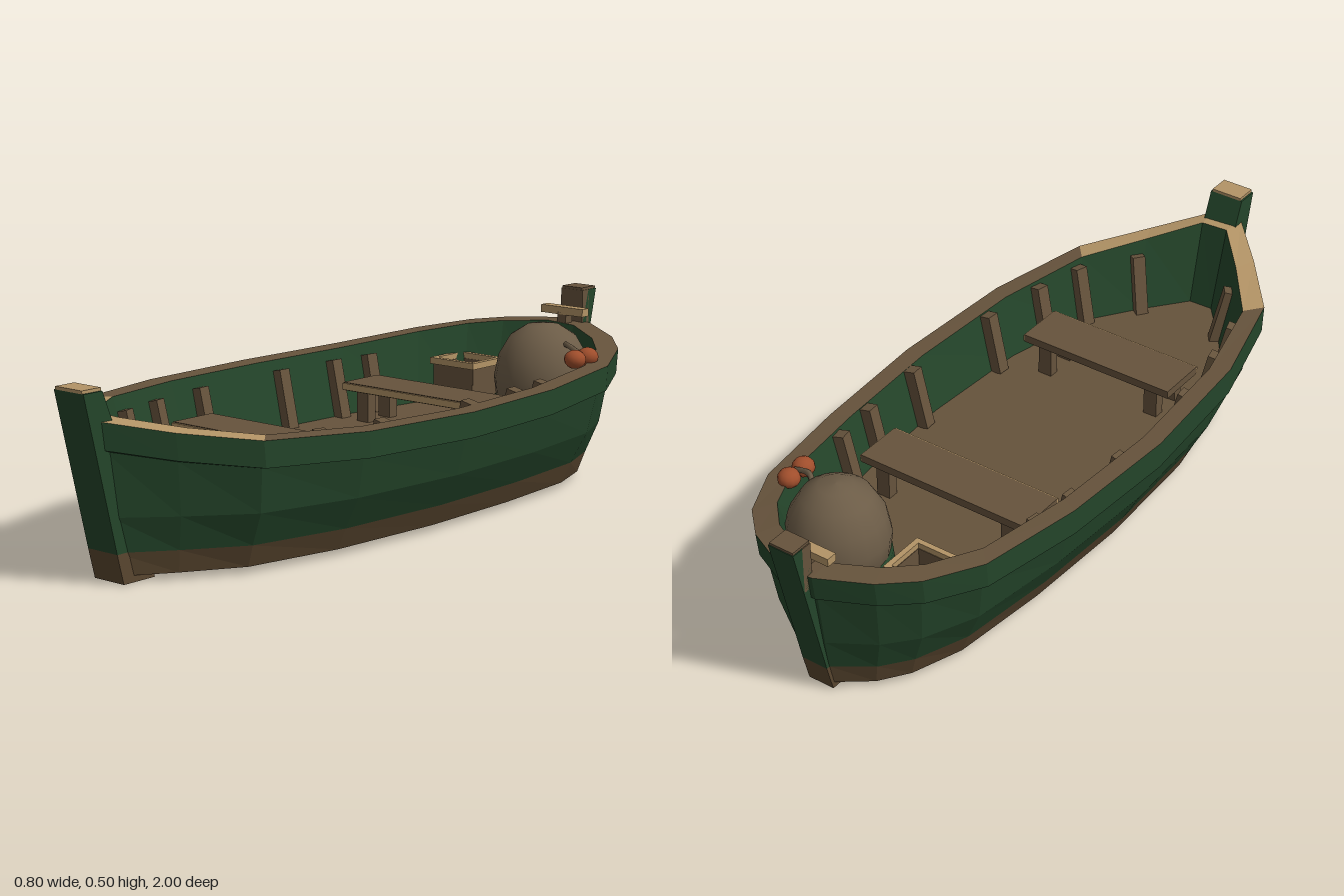
import * as THREE from 'three';

const mat = (name, color) => Object.assign(new THREE.MeshStandardMaterial({ color }), { name });
const M = {
  green: mat('green paint', 0x24452a),
  wood: mat('weathered wood', 0x66533c),
  tan: mat('bare wood', 0xb39466),
  band: mat('bottom paint', 0x59462f),
  sack: mat('net canvas', 0x6c5c47),
  orange: mat('float orange', 0xa04e2c),
};

// Gunwale outline from bow to stern: z, half width, height
const STATIONS = [
  [0.95, 0.045, 0.41], [0.82, 0.168, 0.385], [0.66, 0.30, 0.365], [0.37, 0.375, 0.355],
  [0, 0.40, 0.35], [-0.35, 0.38, 0.352], [-0.65, 0.335, 0.365], [-0.80, 0.26, 0.38],
  [-0.88, 0.18, 0.39], [-0.95, 0.05, 0.40],
];
const N = STATIONS.length * 2;

// Closed loop round the hull: width scale, length scale, height rule
function loop(ws, zs, height) {
  const side = (s) => STATIONS.map(([z, w, h]) => {
    const x = s * w * ws, y = height(h);
    return [x, y - 0.12 * x * y, z * zs];
  });
  return [...side(1), ...side(-1).reverse()];
}

// Faceted skin through successive loops, limited to the chosen segments
function skin(loops, use = () => true) {
  const pos = [];
  for (let l = 0; l < loops.length - 1; l++) {
    const a = loops[l], b = loops[l + 1];
    for (let k = 0; k < N; k++) {
      if (!use(k)) continue;
      const j = (k + 1) % N;
      pos.push(...a[k], ...b[k], ...b[j], ...a[k], ...b[j], ...a[j]);
    }
  }
  const g = new THREE.BufferGeometry();
  g.setAttribute('position', new THREE.Float32BufferAttribute(pos, 3));
  g.computeVertexNormals();
  return g;
}

// Half width of the inner wall at mid height
function innerHalf(z) {
  const t = z / 0.9;
  for (let i = 0; i < STATIONS.length - 1; i++) {
    const [z0, w0] = STATIONS[i], [z1, w1] = STATIONS[i + 1];
    if (t <= z0 && t >= z1) return 0.82 * (w0 + (w1 - w0) * (z0 - t) / (z0 - z1));
  }
  return 0;
}

export function createModel() {
  const root = new THREE.Group();
  root.name = 'rowingBoat';
  const add = (name, geo, m, p = [0, 0, 0], parent = root) => {
    const mesh = new THREE.Mesh(geo, m);
    mesh.name = name;
    mesh.position.set(...p);
    parent.add(mesh);
    return mesh;
  };
  const box = (name, size, p, m, parent) => add(name, new THREE.BoxGeometry(...size), m, p, parent);
  // Side profile of (z, y) points given a width across x
  const plank = (name, pts, width, m) => {
    const shape = new THREE.Shape(pts.map(([z, y]) => new THREE.Vector2(z, y)));
    const g = new THREE.ExtrudeGeometry(shape, { depth: width, bevelEnabled: false });
    g.rotateY(-Math.PI / 2).translate(width / 2, 0, 0);
    return add(name, g, m);
  };

  // Hull shell
  const floorY = () => 0.18;
  const floorMid = loop(0, 0.87, floorY), floorEdge = loop(0.77, 0.87, floorY);
  const railIn = loop(0.87, 0.93, (h) => h), railOut = loop(1, 1, (h) => h);
  const railLow = loop(1, 0.99, (h) => h - 0.07), hullTop = loop(0.93, 0.978, (h) => h - 0.075);
  const chine = loop(0.865, 0.955, () => 0.17), paintLine = loop(0.735, 0.937, () => 0.08);
  const bottom = loop(0.66, 0.925, () => 0.02), bottomMid = loop(0, 0.925, () => 0.015);
  const atBow = (k) => k < 2 || k > 16;
  add('floor', skin([floorMid, floorEdge]), M.wood);
  add('innerWall', skin([floorEdge, railIn]), M.green);
  add('gunwaleTop', skin([railIn, railOut], (k) => !atBow(k)), M.wood);
  add('bowGunwaleTop', skin([railIn, railOut], atBow), M.tan);
  add('outerHull', skin([railOut, railLow, hullTop, chine, paintLine]), M.green);
  add('hullBottom', skin([paintLine, bottom, bottomMid]), M.band);
  box('keel', [0.05, 0.025, 1.72], [0, 0.0145, 0], M.green);

  // Stem post
  plank('stemFoot', [[0.78, 0.003], [0.882, 0.003], [0.902, 0.08], [0.80, 0.08]], 0.1, M.band);
  plank('stemPost', [[0.80, 0.08], [0.902, 0.08], [1.0, 0.48], [0.94, 0.48], [0.90, 0.38]], 0.1, M.green);
  box('stemCap', [0.09, 0.008, 0.06], [0, 0.484, 0.97], M.tan);

  // Stern post with its crossbar
  plank('sternFoot', [[-0.80, 0.003], [-0.80, 0.08], [-0.9, 0.08], [-0.88, 0.003]], 0.075, M.band);
  plank('sternPost', [[-0.82, 0.08], [-0.93, 0.38], [-0.96, 0.49], [-0.995, 0.49], [-0.9, 0.08]], 0.075, M.green);
  box('sternPostInner', [0.075, 0.13, 0.03], [0, 0.425, -0.947], M.wood);
  box('sternCap', [0.07, 0.008, 0.06], [0, 0.493, -0.963], M.wood);
  box('crossbarStand', [0.03, 0.06, 0.03], [0, 0.40, -0.9], M.wood);
  box('crossbar', [0.145, 0.022, 0.03], [0, 0.434, -0.9], M.tan);

  // Ribs along both inner walls
  for (const z of [-0.4, -0.27, -0.07, 0.25, 0.44, 0.58, 0.72]) {
    for (const s of [1, -1]) {
      const slope = (innerHalf(z - 0.02) - innerHalf(z + 0.02)) / 0.04;
      const rib = box('rib', [0.045, 0.17, 0.035], [s * (innerHalf(z) - 0.01), 0.255, z], M.wood);
      rib.rotation.set(0, -s * Math.atan(slope), -s * 0.23);
    }
  }

  // Bench seats on short legs
  const bench = (name, z, x, width) => {
    const g = new THREE.Group();
    g.name = name;
    g.position.set(x, 0, z);
    root.add(g);
    box('seatPlank', [width, 0.022, 0.14], [0, 0.277, 0], M.wood, g);
    box('seatEdge', [width, 0.018, 0.006], [0, 0.277, 0.072], M.tan, g);
    box('seatEnd', [0.006, 0.018, 0.14], [width / 2, 0.277, 0], M.tan, g);
    for (const s of [1, -1]) for (const d of [1, -1])
      box('seatLeg', [0.04, 0.09, 0.03], [s * (width / 2 - 0.06), 0.222, d * 0.045], M.wood, g);
  };
  bench('frontSeat', 0.36, -0.005, 0.46);
  bench('rearSeat', -0.32, -0.005, 0.51);

  // Open crate
  const crate = new THREE.Group();
  crate.name = 'crate';
  crate.position.set(-0.165, 0.18, -0.665);
  root.add(crate);
  box('crateBase', [0.13, 0.012, 0.11], [0, 0.01, 0], M.wood, crate);
  for (const s of [1, -1]) {
    box('crateSide', [0.01, 0.11, 0.12], [s * 0.066, 0.06, 0], M.wood, crate);
    box('crateEnd', [0.14, 0.11, 0.01], [0, 0.06, s * 0.056], M.wood, crate);
    box('crateRimSide', [0.015, 0.018, 0.135], [s * 0.07, 0.122, 0], M.tan, crate);
    box('crateRimEnd', [0.155, 0.018, 0.015], [0, 0.122, s * 0.06], M.tan, crate);
  }

  // Rounded net bundle with a dark hem
  const profile = [[0.105, 0.18], [0.128, 0.24], [0.134, 0.29], [0.122, 0.35], [0.09, 0.405], [0.045, 0.434], [0, 0.44]];
  const lathe = (pts) => new THREE.LatheGeometry(pts.map(([r, y]) => new THREE.Vector2(r, y)), 20);
  add('netBundle', lathe(profile), M.sack, [0.1, 0, -0.67]);
  add('netHem', lathe([[0.115, 0.18], [0.137, 0.205], [0.134, 0.235], [0.125, 0.24]]), M.green, [0.1, 0, -0.67]);

  // Floats tied to the bundle
  const rope = new THREE.CatmullRomCurve3([
    new THREE.Vector3(0.18, 0.39, -0.66), new THREE.Vector3(0.22, 0.393, -0.63), new THREE.Vector3(0.27, 0.375, -0.62),
  ]);
  add('rope', new THREE.TubeGeometry(rope, 8, 0.008, 6), M.sack);
  for (const z of [-0.648, -0.592]) {
    const float = add('float', new THREE.SphereGeometry(0.03, 12, 8), M.orange, [0.268, 0.368, z]);
    float.scale.set(1, 0.85, 1);
  }
  return root;
}
